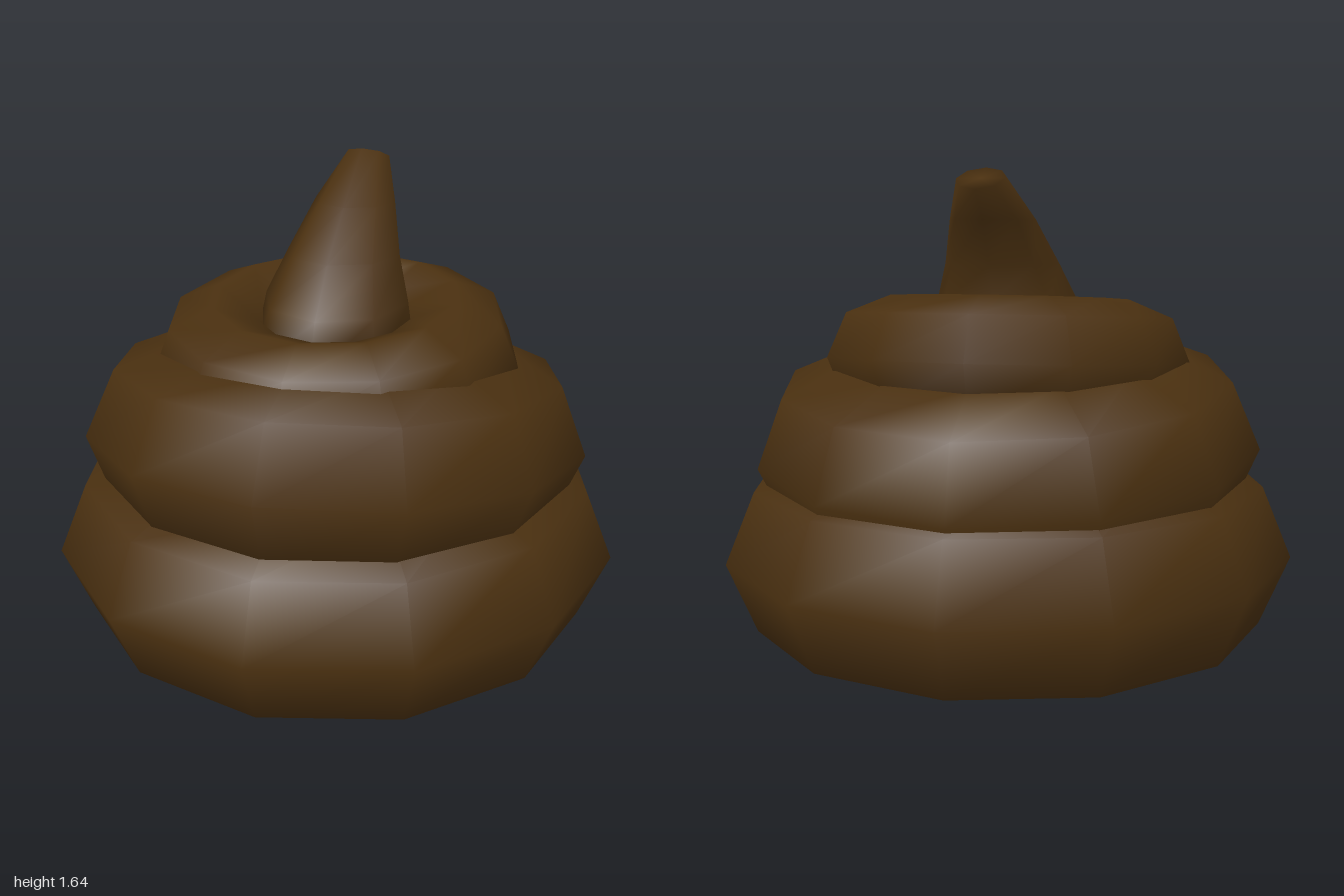
import * as THREE from 'three';
import { mergeVertices } from 'three/addons/utils/BufferGeometryUtils.js';

export function createModel() {
  const group = new THREE.Group();
  const brown = new THREE.MeshStandardMaterial({ color: 0x4a3010 });
  brown.name = 'darkBrown';

  const add = (name, geometry) => {
    const mesh = new THREE.Mesh(geometry, brown);
    mesh.name = name;
    group.add(mesh);
    return mesh;
  };

  // Stacked coils: name, ring radius, tube radius, height, tilt
  const coils = [
    ['bottomCoil', 0.655, 0.345, 0.325, 0],
    ['middleCoil', 0.555, 0.33, 0.7, -0.12],
    ['topCoil', 0.425, 0.216, 0.99, 0.09],
  ];
  for (const [name, ring, tube, y, tilt] of coils) {
    const geo = new THREE.TorusGeometry(ring, tube, 8, 12);
    geo.rotateX(Math.PI / 2 + tilt);
    geo.translate(0, y, 0);
    // Rest the underside flat on the ground
    const p = geo.attributes.position;
    for (let i = 0; i < p.count; i++) p.setY(i, Math.max(0, p.getY(i)));
    add(name, geo);
  }

  // Curled tip: rings from base to point as [y, z, radius, slope towards the front]
  const rings = [
    [1.0, 0.03, 0.29, 0],
    [1.19, 0.0, 0.255, -0.06],
    [1.33, -0.09, 0.2, 0],
    [1.48, -0.235, 0.145, 0],
    [1.608, -0.4, 0.08, 0.45],
  ];
  const last = rings.length - 1;
  let tip = new THREE.CylinderGeometry(1, 1, last, 8, last);
  const p = tip.attributes.position;
  for (let i = 0; i < p.count; i++) {
    const [y, z, r, slope] = rings[Math.round(p.getY(i) + last / 2)];
    const dz = p.getZ(i) * r;
    p.setXYZ(i, p.getX(i) * r, y + dz * slope, z + dz);
  }
  tip.deleteAttribute('normal');
  tip.deleteAttribute('uv');
  tip = mergeVertices(tip, 1e-4);
  tip.computeVertexNormals();
  add('curledTip', tip);

  return group;
}
